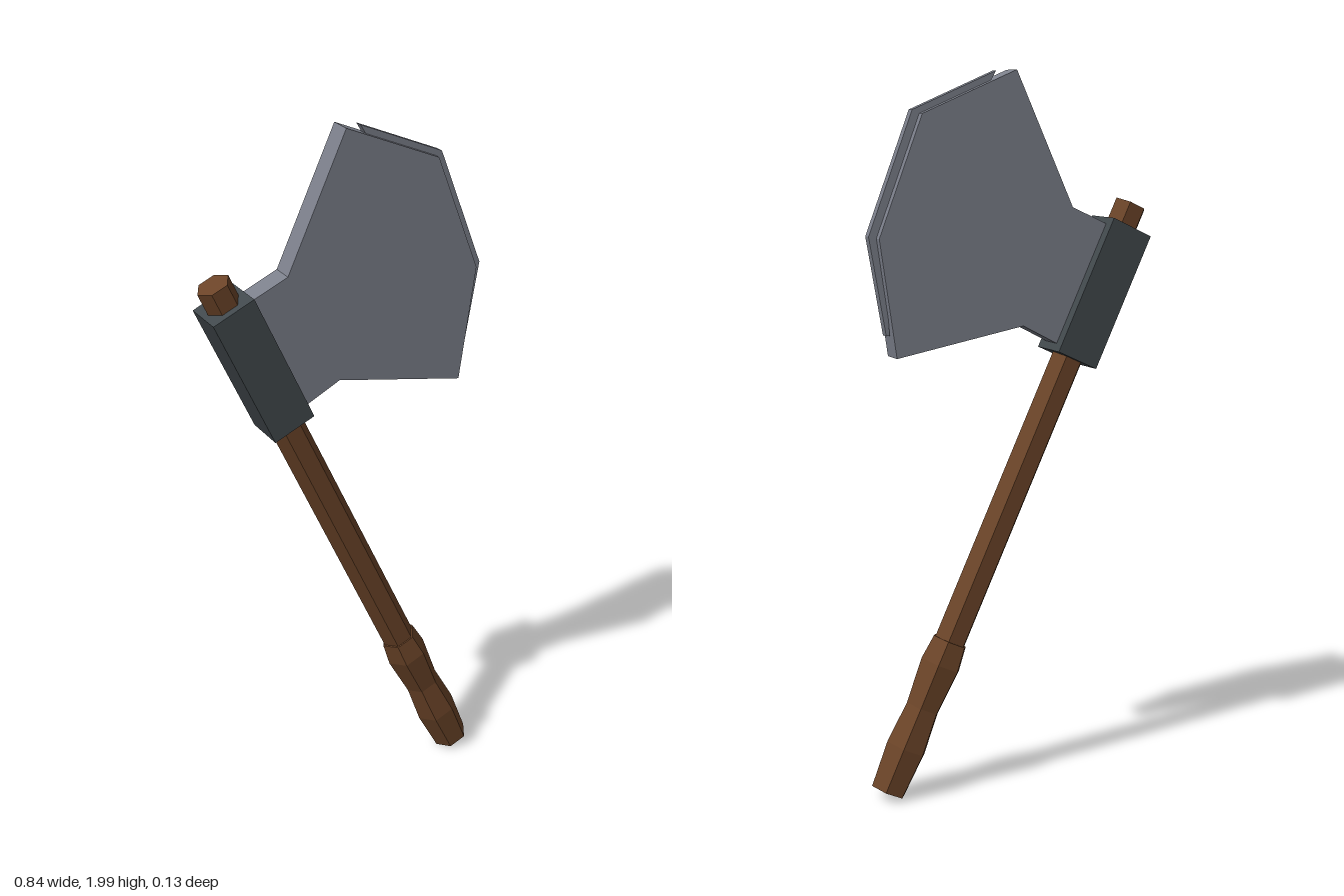
import * as THREE from 'three';

const flat = (name, color) => {
  const m = new THREE.MeshStandardMaterial({ color, flatShading: true });
  m.name = name;
  return m;
};

export function createModel() {
  const wood = flat('wood', 0x6b4428);
  const steel = flat('steel', 0x7c808b);
  const iron = flat('dark iron', 0x42494d);

  const axe = new THREE.Group();
  axe.name = 'axe';
  const add = (parent, name, geometry, material) => {
    const mesh = new THREE.Mesh(geometry, material);
    mesh.name = name;
    parent.add(mesh);
    return mesh;
  };

  // Tilted haft: its own y axis runs from the butt to the head
  const haft = new THREE.Group();
  haft.name = 'haft';
  haft.position.set(0.37, 0.027, 0);
  haft.rotation.z = 0.4357;
  axe.add(haft);

  // Six-sided bars with corners towards +x and -x
  const hexLathe = (profile) =>
    new THREE.LatheGeometry(profile.map(([r, y]) => new THREE.Vector2(r, y)), 6).rotateY(Math.PI / 6);

  add(haft, 'handle', hexLathe([[0, 0.4], [0.048, 0.4], [0.048, 1.77], [0, 1.77]]), wood);
  add(haft, 'grip', hexLathe([
    [0, 0], [0.052, 0], [0.061, 0.13], [0.051, 0.25], [0.062, 0.38], [0.053, 0.45], [0, 0.45],
  ]), wood);

  // Square socket around the handle
  const socket = add(haft, 'socket', new THREE.BoxGeometry(0.128, 0.4, 0.13), iron);
  socket.position.y = 1.505;

  // Upright plates, centred on z = 0
  const plate = (points, depth) => {
    const shape = new THREE.Shape(points.map(([x, y]) => new THREE.Vector2(x, y)));
    return new THREE.ExtrudeGeometry(shape, { depth, bevelEnabled: false }).translate(0, 0, -depth / 2);
  };

  add(axe, 'blade', plate([
    [-0.29, 1.58], [-0.135, 1.255], [-0.03, 1.31], [0.343, 1.24], [0.39, 1.56],
    [0.265, 1.885], [-0.01, 2.0], [-0.18, 1.63],
  ], 0.066), steel);

  // Thin cutting edge standing proud of the blade
  add(axe, 'cuttingEdge', plate([
    [0.355, 1.30], [0.365, 1.30], [0.412, 1.565], [0.285, 1.895], [0.042, 1.997],
    [0.07, 1.95], [0.25, 1.87], [0.375, 1.56],
  ], 0.024), steel);

  return axe;
}
